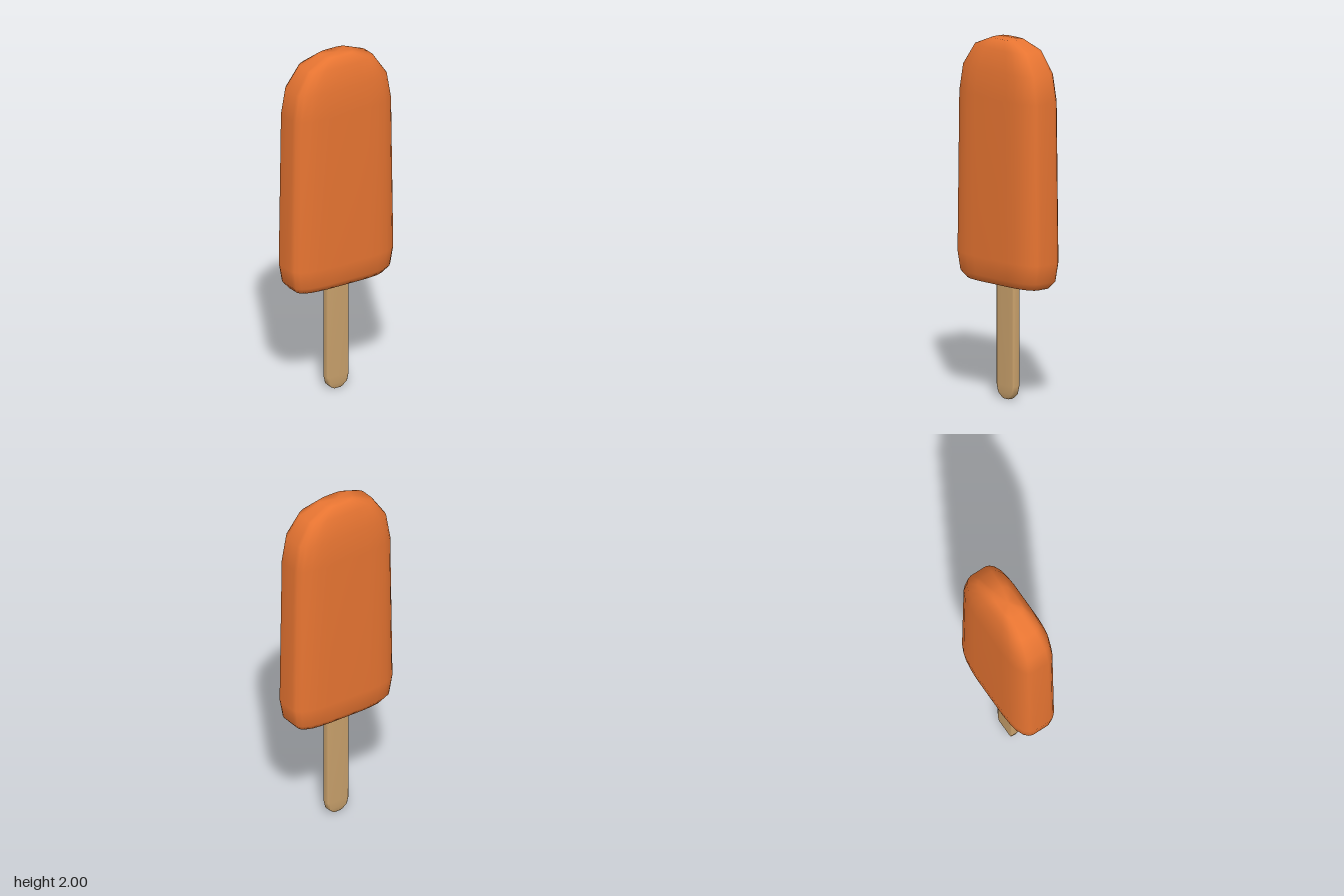
import * as THREE from 'three';

// One quadrant of the soft rectangular cross-section, as fractions of half width and half depth
const iceQuadrant = [[1, 0], [1, 0.4], [0.975, 0.57], [0.91, 0.74], [0.77, 0.9], [0.6, 0.965], [0.4, 1], [0, 1]];
const stickQuadrant = [[1, 0], [1, 0.5], [0.96, 0.85], [0.86, 1], [0, 1]];

// Mirror a quadrant into a closed loop running from +x towards +z
function closeLoop(quadrant) {
  const half = [...quadrant, ...quadrant.slice(0, -1).reverse().map(([x, z]) => [-x, z])];
  return [...half, ...half.slice(1, -1).reverse().map(([x, z]) => [x, -z])];
}

// Join stacked sections [y, halfWidth, halfDepth] into a smooth closed body
function loft(quadrant, sections) {
  const loop = closeLoop(quadrant);
  const n = loop.length;
  const last = sections.length - 1;
  const positions = [];
  const indices = [];
  for (const [y, w, d] of sections) {
    for (const [x, z] of loop) positions.push(x * w, y, z * d);
  }
  const bottom = positions.length / 3;
  positions.push(0, sections[0][0], 0, 0, sections[last][0], 0);
  for (let j = 0; j < n; j++) {
    const k = (j + 1) % n;
    for (let i = 0; i < last; i++) {
      const a = i * n + j, b = i * n + k;
      indices.push(a, a + n, b, b, a + n, b + n);
    }
    indices.push(bottom, j, k, bottom + 1, last * n + k, last * n + j);
  }
  const geometry = new THREE.BufferGeometry();
  geometry.setAttribute('position', new THREE.Float32BufferAttribute(positions, 3));
  geometry.setIndex(indices);
  geometry.computeVertexNormals();
  return geometry;
}

export function createModel() {
  const orangeIce = new THREE.MeshStandardMaterial({ color: 0xe87532 });
  orangeIce.name = 'orange ice';
  const paleWood = new THREE.MeshStandardMaterial({ color: 0xc8a06b });
  paleWood.name = 'pale wood';

  const model = new THREE.Group();
  model.name = 'icePop';

  // Frozen bar: slightly dished underside, gentle taper and domed top
  const ice = new THREE.Mesh(loft(iceQuadrant, [
    [0.67, 0.09, 0.035],
    [0.645, 0.28, 0.092],
    [0.685, 0.315, 0.122],
    [0.79, 0.332, 0.132],
    [1.68, 0.318, 0.13],
    [1.83, 0.293, 0.12],
    [1.95, 0.212, 0.095],
    [2.0, 0.09, 0.055],
  ]), orangeIce);
  ice.name = 'iceBar';

  // Flat stick with a rounded lower end, its top sunk into the ice
  const stick = new THREE.Mesh(loft(stickQuadrant, [
    [0, 0.022, 0.014],
    [0.008, 0.036, 0.018],
    [0.032, 0.061, 0.023],
    [0.075, 0.071, 0.025],
    [0.8, 0.072, 0.025],
  ]), paleWood);
  stick.name = 'stick';

  model.add(ice, stick);
  return model;
}
